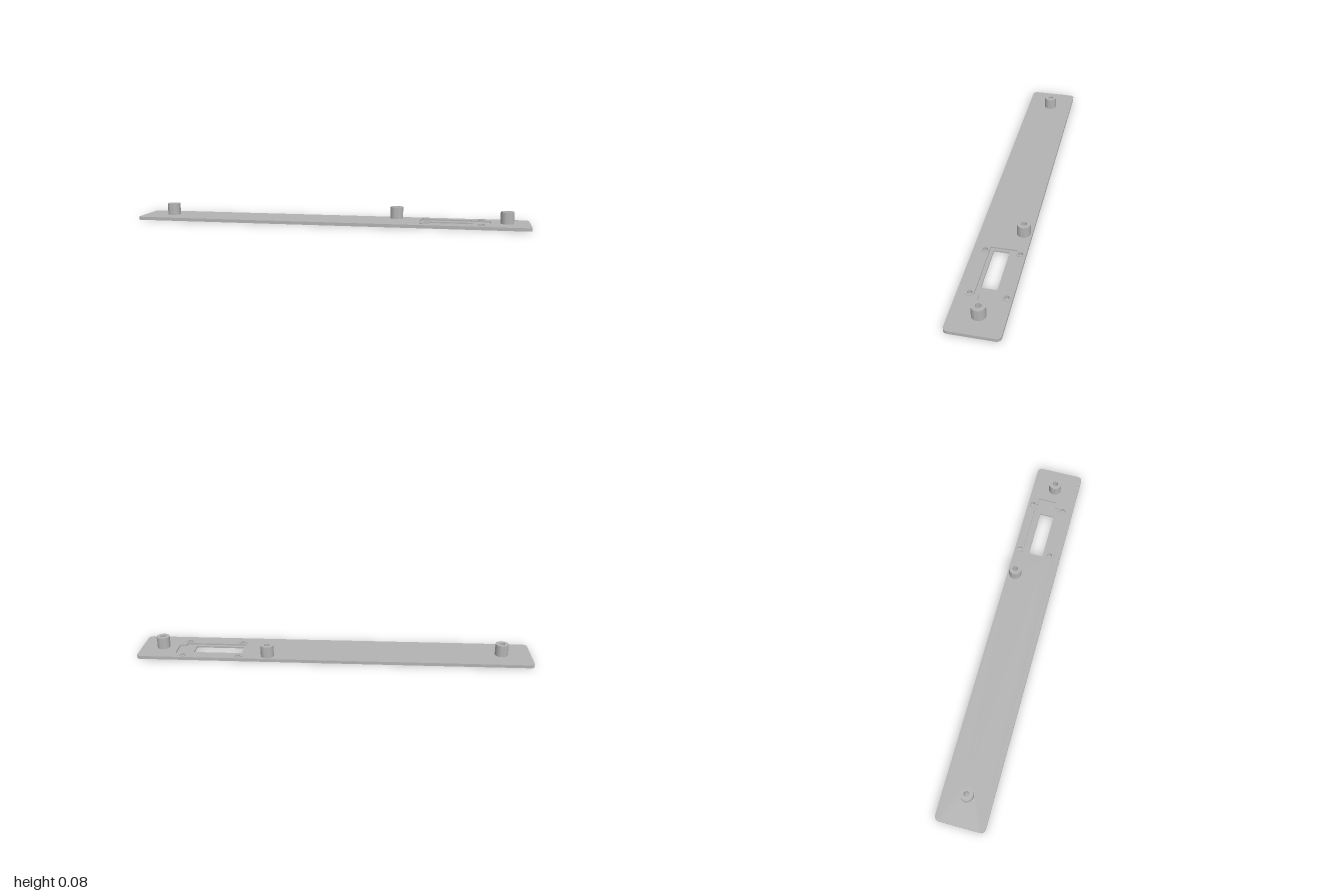
import * as THREE from 'three';
import { toCreasedNormals } from 'three/addons/utils/BufferGeometryUtils.js';

const T = 0.016, FLOOR = 0.008; // plate thickness, recess floor height
const POST = { outer: 0.033, inner: 0.014, top: 0.075 };
const BOSS = { outer: 0.02, inner: 0.012, top: 0.019 };
const posts = [[-0.85, -0.004], [0.336, -0.084], [0.888, -0.004]]; // x, z
const bosses = [[0.484, -0.098], [0.767, -0.098], [0.484, 0.068], [0.767, 0.068]];

// Outlines are counterclockwise in (x, -z)
const toPoints = (list) => list.map(([x, y]) => new THREE.Vector2(x, y));
const windowLine = toPoints([[0.473, -0.03], [0.722, -0.03], [0.722, 0.045], [0.473, 0.045]]);
const recessLine = toPoints([
  [0.46, -0.048], [0.775, -0.048], [0.775, -0.025], [0.81, -0.025],
  [0.81, 0.073], [0.772, 0.073], [0.772, 0.08], [0.46, 0.08],
]);

function roundedOutline(w, d, r) {
  const s = new THREE.Shape();
  const corners = [[1, -1, -0.5], [1, 1, 0], [-1, 1, 0.5], [-1, -1, 1]];
  for (const [sx, sy, a] of corners) {
    s.absarc(sx * (w - r), sy * (d - r), r, a * Math.PI, (a + 0.5) * Math.PI, false);
  }
  const pts = s.getPoints(8);
  if (pts[0].distanceTo(pts[pts.length - 1]) < 1e-6) pts.pop();
  return pts;
}

function circle([x, z], r) {
  return new THREE.Path().absarc(x, -z, r, 0, Math.PI * 2, false);
}

// Flat horizontal face at height y, facing up or down
function face(outline, holes, y, down = false) {
  const shape = new THREE.Shape(outline);
  shape.holes.push(...holes);
  const geo = new THREE.ShapeGeometry(shape, 16).rotateX(-Math.PI / 2).translate(0, y, 0);
  if (down) {
    geo.index.array.reverse();
    geo.computeVertexNormals();
  }
  return geo;
}

// Vertical wall along a closed outline
function wall(outline, y0, y1, inward = false) {
  const pts = inward ? [...outline].reverse() : outline;
  const pos = [];
  pts.forEach((a, i) => {
    const b = pts[(i + 1) % pts.length];
    pos.push(a.x, y0, -a.y, b.x, y0, -b.y, b.x, y1, -b.y);
    pos.push(a.x, y0, -a.y, b.x, y1, -b.y, a.x, y1, -a.y);
  });
  const geo = new THREE.BufferGeometry();
  geo.setAttribute('position', new THREE.Float32BufferAttribute(pos, 3));
  geo.computeVertexNormals();
  return toCreasedNormals(geo, 0.6);
}

// Hollow collar whose bore runs down through the plate
function collar({ outer, inner, top }) {
  const profile = toPoints([[outer, T], [outer, top], [inner, top], [inner, 0]]);
  return toCreasedNormals(new THREE.LatheGeometry(profile, 32), 0.6);
}

export function createModel() {
  const model = new THREE.Group();
  model.name = 'mountingPanel';
  const grey = new THREE.MeshStandardMaterial({ color: 0xb3b3b3 });
  grey.name = 'panel grey';

  const add = (name, geo, x = 0, z = 0) => {
    const mesh = new THREE.Mesh(geo, grey);
    mesh.name = name;
    mesh.position.set(x, 0, z);
    model.add(mesh);
  };

  // Plate
  const outline = roundedOutline(1, 0.125, 0.022);
  const bossHoles = bosses.map((p) => circle(p, BOSS.inner));
  const postHoles = (r) => posts.map((p) => circle(p, r));
  add('plateTop', face(outline, [new THREE.Path(recessLine), ...bossHoles, ...postHoles(POST.outer)], T));
  add('plateBottom', face(outline, [new THREE.Path(windowLine), ...bossHoles, ...postHoles(POST.inner)], 0, true));
  add('plateEdge', wall(outline, 0, T));

  // Stepped recess around the window
  add('recessFloor', face(recessLine, [new THREE.Path(windowLine)], FLOOR));
  add('recessWall', wall(recessLine, FLOOR, T, true));
  add('windowWall', wall(windowLine, 0, FLOOR, true));

  // Standoff posts and low screw bosses
  posts.forEach(([x, z], i) => add(`standoffPost${i + 1}`, collar(POST), x, z));
  bosses.forEach(([x, z], i) => add(`screwBoss${i + 1}`, collar(BOSS), x, z));
  return model;
}
